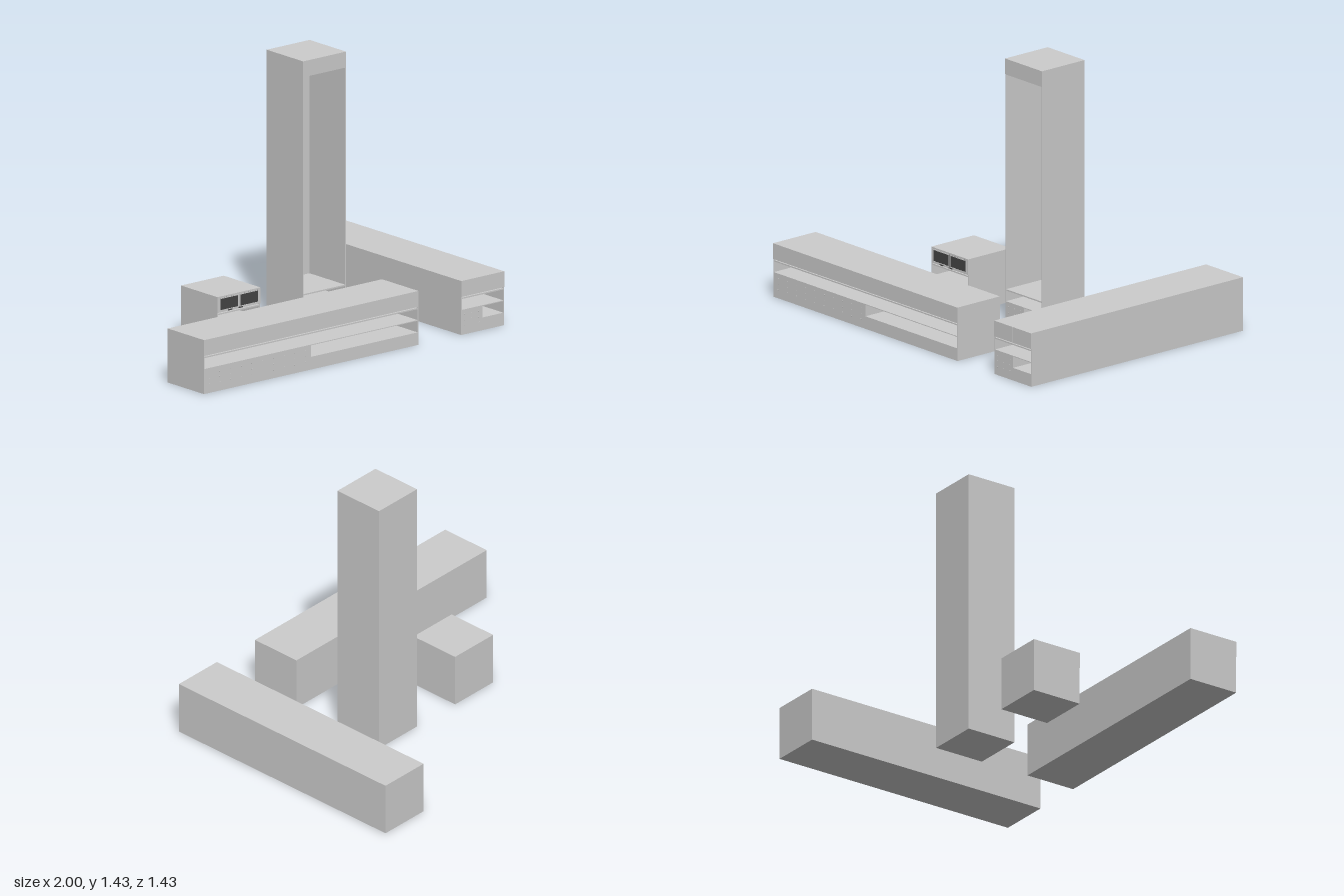
import * as THREE from 'three';

const U = 0.2857; // module size
const T = 0.004;  // sheet thickness
const grey = new THREE.MeshStandardMaterial({ color: 0xcccccc });
const dark = new THREE.MeshStandardMaterial({ color: 0x444444 });

// Box given by its lower and upper corners
function slab(parent, name, x0, x1, y0, y1, z0, z1, mat = grey) {
  const mesh = new THREE.Mesh(new THREE.BoxGeometry(x1 - x0, y1 - y0, z1 - z0), mat);
  mesh.position.set((x0 + x1) / 2, (y0 + y1) / 2, (z0 + z1) / 2);
  mesh.name = name;
  parent.add(mesh);
  return mesh;
}

// Cabinet from x = 0..w, y = 0..h, z = -d..0, open at the front
function cabinet(name, w, h, d) {
  const g = new THREE.Group();
  g.name = name;
  const mid = w / 2, head = h - 0.084;

  // Thin shell
  slab(g, 'leftWall', w - T, w, 0, h, -d, 0);
  slab(g, 'rightWall', 0, T, 0, h, -d, 0);
  slab(g, 'backWall', T, w - T, 0, h, -d, -d + T);

  // Solid head with a slightly proud front
  slab(g, 'head', 0, w, head, h, -d, 0.002);

  // Shelves: thin plate, then the deck above the base
  slab(g, 'upperShelf', T, w - T, 0.189, 0.196, -d + T, -0.001);
  slab(g, 'deck', T, w - T, 0.128, 0.132, -d + T, 0);

  // Base with an open niche in one half
  slab(g, 'base', T, w - T, 0, 0.067, -d + T, 0);
  slab(g, 'baseBlock', T, mid, 0.067, 0.128, -d + T, 0);

  // Grid of small studs on the closed half of the base
  const cols = Math.max(3, Math.round(mid / 0.07));
  const stud = new THREE.CylinderGeometry(0.004, 0.004, 0.002, 8);
  stud.rotateX(Math.PI / 2);
  const studs = new THREE.Group();
  studs.name = 'studs';
  for (let i = 0; i < cols; i++) {
    for (const y of [0.045, 0.075, 0.105]) {
      const m = new THREE.Mesh(stud, grey);
      m.name = 'stud';
      m.position.set((mid * (i + 0.5)) / cols, y, 0.001);
      studs.add(m);
    }
  }
  g.add(studs);
  return g;
}

// Pair of dark framed windows on the head of the small cabinet
function windows(g) {
  for (const side of [0, 1]) {
    const x0 = 0.012 + side * 0.134, x1 = x0 + 0.127;
    const y0 = 0.21, y1 = 0.277;
    slab(g, 'windowPane', x0, x1, y0, y1, 0.001, 0.003, dark);
    slab(g, 'windowFrameTop', x0, x1, y1 - 0.004, y1, 0.002, 0.005);
    slab(g, 'windowFrameBottom', x0, x1, y0, y0 + 0.004, 0.002, 0.005);
    slab(g, 'windowFrameSide', x0, x0 + 0.004, y0, y1, 0.002, 0.005);
    slab(g, 'windowFrameSide', x1 - 0.004, x1, y0, y1, 0.002, 0.005);
  }
  // Small latches under the windows
  for (const x of [0.07, 0.14]) slab(g, 'latch', x, x + 0.025, 0.204, 0.209, 0, 0.007, dark);
}

export function createModel() {
  const model = new THREE.Group();
  model.name = 'cabinetSet';

  const wide = cabinet('wideCabinet', 5 * U, U, U);
  wide.position.set(-1, 0, 0.712);

  const small = cabinet('smallCabinet', U, U, U);
  small.position.set(-0.4286, 0, 0.1409);
  windows(small);

  const tall = cabinet('tallCabinet', U, 5 * U, U);
  tall.position.set(0.1428, 0, 0.1409);

  const deep = cabinet('deepCabinet', U, U, 5 * U);
  deep.position.set(0.7143, 0, 0.712);
  // Seam between the two halves of the head
  slab(deep, 'seam', U / 2 - 0.002, U / 2 + 0.002, 0.204, U - 0.001, 0.001, 0.003);

  model.add(wide, small, tall, deep);
  return model;
}
